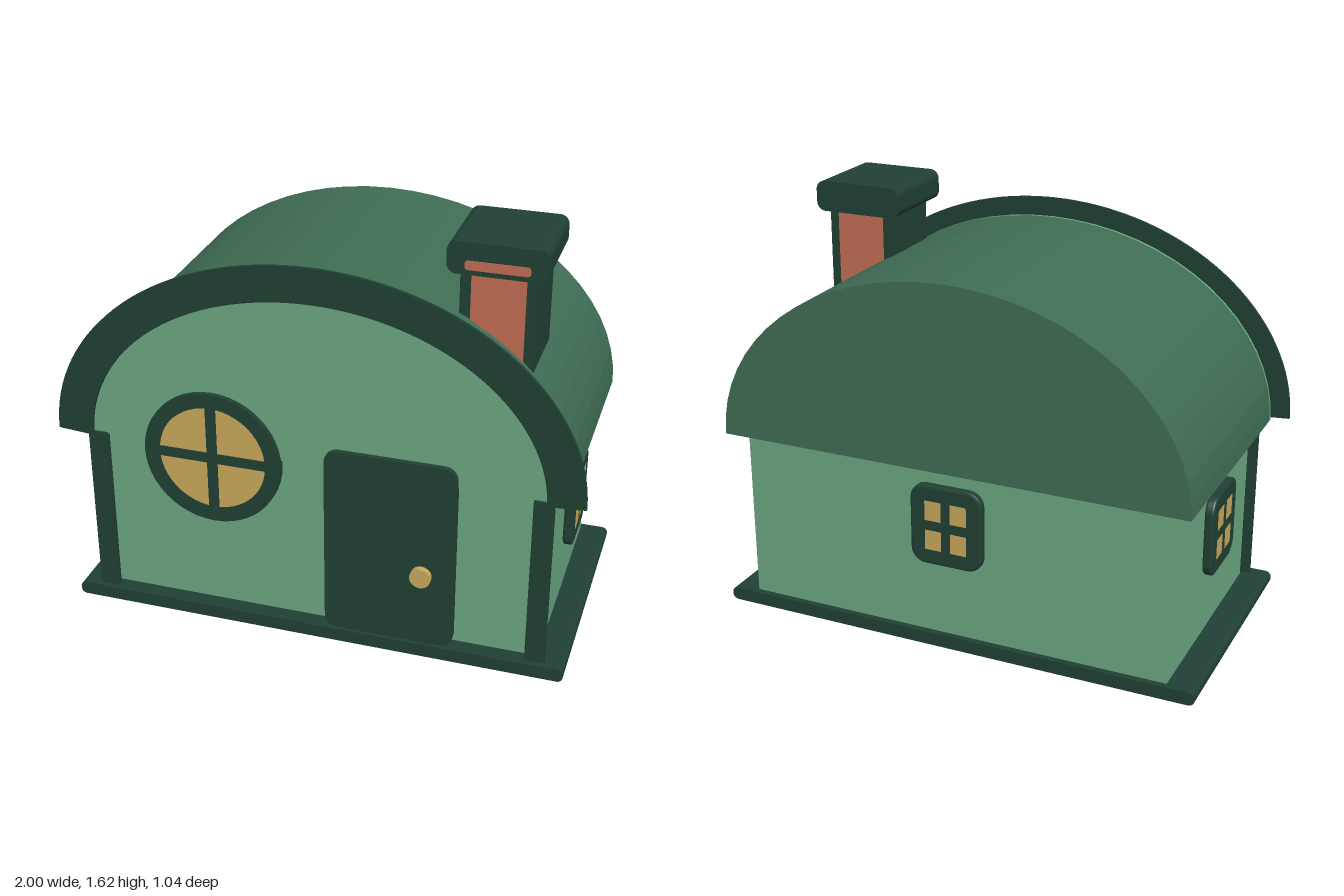
import * as THREE from 'three';

const material = (name, color) => {
  const m = new THREE.MeshStandardMaterial({ color });
  m.name = name;
  return m;
};

// Rounded rectangle centred on the origin
function roundedRect(w, h, r) {
  const s = new THREE.Shape();
  const x = w / 2, y = h / 2;
  s.moveTo(-x + r, -y);
  s.lineTo(x - r, -y);
  s.absarc(x - r, -y + r, r, -Math.PI / 2, 0);
  s.lineTo(x, y - r);
  s.absarc(x - r, y - r, r, 0, Math.PI / 2);
  s.lineTo(-x + r, y);
  s.absarc(-x + r, y - r, r, Math.PI / 2, Math.PI);
  s.lineTo(-x, -y + r);
  s.absarc(-x + r, -y + r, r, Math.PI, Math.PI * 1.5);
  return s;
}

// Closed half ellipse standing on y = 0
function halfEllipse(a, b) {
  const s = new THREE.Shape();
  s.moveTo(a, 0);
  s.absellipse(0, 0, a, b, 0, Math.PI, false, 0);
  s.closePath();
  return s;
}

// Extrude a shape from z0 to z1
function slab(shape, z0, z1, curveSegments = 8) {
  const g = new THREE.ExtrudeGeometry(shape, { depth: z1 - z0, bevelEnabled: false, curveSegments });
  return g.translate(0, 0, z0);
}

export function createModel() {
  const house = new THREE.Group();
  house.name = 'cottage';

  const wallGreen = material('wall green', 0x6ba681);
  const roofGreen = material('roof green', 0x3f6d54);
  const trimGreen = material('dark trim green', 0x204034);
  const gold = material('window gold', 0xc8a85a);
  const brick = material('brick red', 0xc26d54);

  const add = (name, geometry, mat, x = 0, y = 0, z = 0, parent = house) => {
    const m = new THREE.Mesh(geometry, mat);
    m.name = name;
    m.position.set(x, y, z);
    parent.add(m);
    return m;
  };
  // Box given by its limits
  const box = (name, mat, x0, x1, y0, y1, z0, z1, parent = house) =>
    add(name, new THREE.BoxGeometry(x1 - x0, y1 - y0, z1 - z0), mat,
      (x0 + x1) / 2, (y0 + y1) / 2, (z0 + z1) / 2, parent);

  // Base and walls
  add('base', slab(roundedRect(1.93, 0.052, 0.022), -0.495, 0.515), trimGreen, -0.002, 0.026);
  box('walls', wallGreen, -0.855, 0.855, 0.05, 0.735, -0.47, 0.45);
  for (const s of [-1, 1]) {
    box('cornerPost', trimGreen, s * 0.85 - 0.037, s * 0.85 + 0.037, 0.05, 0.735, 0.468, 0.492);
  }

  // Barrel roof with the gable in front
  add('roof', slab(halfEllipse(0.93, 0.715), -0.515, 0.468, 16), roofGreen, 0, 0.73);
  add('gable', slab(halfEllipse(0.93, 0.715), 0.468, 0.48, 16), wallGreen, 0, 0.73);

  // Arched trim
  const arch = new THREE.Shape();
  arch.moveTo(1, 0.01);
  arch.absellipse(0, 0.01, 1, 0.775, 0, Math.PI, false, 0);
  arch.lineTo(-0.862, 0);
  arch.absellipse(0, 0, 0.862, 0.65, Math.PI, 0, true, 0);
  arch.closePath();
  add('archTrim', slab(arch, 0.493, 0.506, 32), trimGreen, 0, 0.73);

  // Door and knob
  add('door', slab(roundedRect(0.495, 0.765, 0.05), 0.468, 0.5), trimGreen, 0.293, 0.432);
  const knob = new THREE.CylinderGeometry(0.04, 0.04, 0.024, 20).rotateX(Math.PI / 2);
  add('doorKnob', knob, gold, 0.418, 0.35, 0.511);

  // Round window
  const round = new THREE.Group();
  round.name = 'roundWindow';
  round.position.set(-0.389, 0.702, 0);
  house.add(round);
  const ring = new THREE.Shape().absarc(0, 0, 0.267, 0, Math.PI * 2);
  ring.holes.push(new THREE.Path().absarc(0, 0, 0.209, 0, Math.PI * 2, true));
  add('roundFrame', slab(ring, 0.468, 0.498, 24), trimGreen, 0, 0, 0, round);
  const glass = new THREE.CylinderGeometry(0.215, 0.215, 0.006, 40).rotateX(Math.PI / 2);
  add('roundGlass', glass, gold, 0, 0, 0.488, round);
  box('verticalBar', trimGreen, -0.02, 0.02, -0.212, 0.212, 0.483, 0.496, round);
  box('horizontalBar', trimGreen, -0.212, 0.212, -0.02, 0.02, 0.483, 0.4955, round);

  // Four-pane windows, built facing +z and turned into place
  const smallWindow = (name, x, y, z, turn) => {
    const w = new THREE.Group();
    w.name = name;
    w.position.set(x, y, z);
    w.rotation.y = turn;
    house.add(w);
    const frame = new THREE.ExtrudeGeometry(roundedRect(0.27, 0.3, 0.05), {
      depth: 0.02, bevelThickness: 0.008, bevelSize: 0.009, bevelSegments: 2, curveSegments: 6
    });
    add('windowFrame', frame, trimGreen, 0, 0, 0.008, w);
    for (const px of [-0.051, 0.051]) {
      for (const py of [-0.059, 0.059]) {
        add('pane', new THREE.BoxGeometry(0.065, 0.078, 0.004), gold, px, py, 0.0355, w);
      }
    }
  };
  smallWindow('leftWindow', 0.869, 0.481, -0.011, Math.PI / 2);
  smallWindow('rightWindow', -0.869, 0.481, -0.011, -Math.PI / 2);
  smallWindow('backWindow', -0.005, 0.517, -0.484, Math.PI);

  // Chimney with brick panels and cap
  const chimney = new THREE.Group();
  chimney.name = 'chimney';
  house.add(chimney);
  box('stack', trimGreen, 0.485, 0.755, 1.145, 1.51, 0.039, 0.325, chimney);
  box('frontBrick', brick, 0.525, 0.717, 1.18, 1.495, 0.324, 0.331, chimney);
  box('backBrick', brick, 0.525, 0.717, 1.18, 1.495, 0.033, 0.04, chimney);
  add('cap', slab(roundedRect(0.353, 0.118, 0.035), 0.007, 0.357), trimGreen, 0.619, 1.556, 0, chimney);
  add('capInset', slab(roundedRect(0.228, 0.034, 0.012), 0.356, 0.36), brick, 0.62, 1.533, 0, chimney);

  return house;
}
